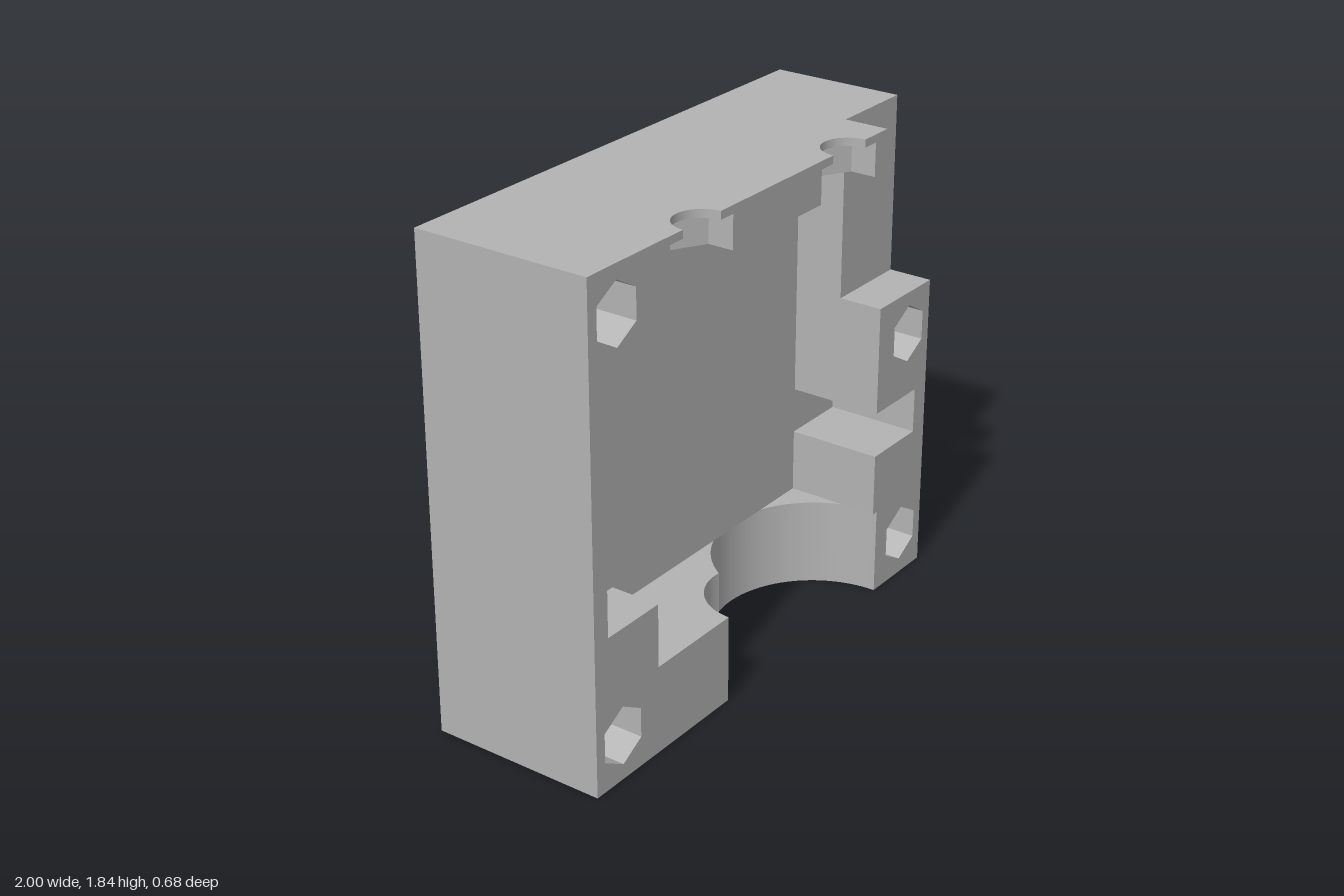
import * as THREE from 'three';
import { toCreasedNormals } from 'three/addons/utils/BufferGeometryUtils.js';

const W = 1, H = 1.84, BACK = -0.34, FRONT = 0.34;
const FLOOR = -0.02;   // cavity floor
const DIP = -0.06;     // back of the block holding the curved cutout
const STEP = 0.17;     // depth of the corner step
const L = -0.665, R = 0.66, LOW = 0.335, HIGH = 1.685; // cavity limits
const BLOCK_R = 0.7;   // right end of the lower block
const SLOT_LOW = 0.575, SLOT_HIGH = 0.75;
const LEFT_BOLTS = [[-0.86, 0.17], [-0.86, 1.675]];
const RIGHT_BOLTS = [[0.86, 0.17], [0.86, 1.0]];

const polygon = (points) => new THREE.Shape(points.map(([x, y]) => new THREE.Vector2(x, y)));

function addRoundHoles(shape, centres) {
  for (const [x, y] of centres) {
    shape.holes.push(new THREE.Path().absarc(x, y, 0.073, 0, Math.PI * 2, true));
  }
  return shape;
}

function addHexHoles(shape, centres) {
  for (const [x, y] of centres) {
    const points = [];
    for (let i = 0; i < 6; i++) {
      const a = Math.PI / 2 - i * Math.PI / 3;
      points.push(new THREE.Vector2(x + 0.112 * Math.cos(a), y + 0.112 * Math.sin(a)));
    }
    shape.holes.push(new THREE.Path(points));
  }
  return shape;
}

function extrude(shape, depth) {
  return new THREE.ExtrudeGeometry(shape, { depth, bevelEnabled: false, curveSegments: 40 });
}

export function createModel() {
  const model = new THREE.Group();
  model.name = 'housingHalf';
  const grey = new THREE.MeshStandardMaterial({ color: 0xb3b3b3 });
  grey.name = 'grey';

  const add = (name, geometry) => {
    const mesh = new THREE.Mesh(toCreasedNormals(geometry, 0.5), grey);
    mesh.name = name;
    model.add(mesh);
  };
  // Outline in x, y, extruded from z0 to z1
  const addAlongZ = (name, shape, z0, z1) =>
    add(name, extrude(shape, z1 - z0).translate(0, 0, z0));
  // Outline in x, -z, extruded from y0 to y1
  const addAlongY = (name, shape, y0, y1) =>
    add(name, extrude(shape, y1 - y0).rotateX(-Math.PI / 2).translate(0, y0, 0));

  const bolts = [...LEFT_BOLTS, ...RIGHT_BOLTS];

  // Back plate with bolt holes
  addAlongZ('backPlate',
    addRoundHoles(polygon([[-W, 0], [W, 0], [W, H], [-W, H]]), bolts), BACK, DIP);

  // Cavity floor layer, open where the lower block sits
  addAlongZ('cavityFloor', addRoundHoles(polygon([
    [-W, 0], [L, 0], [L, LOW], [BLOCK_R, LOW], [BLOCK_R, 0], [W, 0], [W, H], [-W, H],
  ]), bolts), DIP, FLOOR);

  // Left-hand wall with side slot and hexagonal pockets
  addAlongZ('slottedWall', addHexHoles(polygon([
    [-W, 0], [L, 0], [L, SLOT_LOW], [-0.93, SLOT_LOW],
    [-0.93, SLOT_HIGH], [L, SLOT_HIGH], [L, H], [-W, H],
  ]), LEFT_BOLTS), FLOOR, FRONT);

  // Opposite wall, lowered at the top corner to form a step
  const steppedWall = (top) => addHexHoles(polygon([
    [BLOCK_R, 0], [W, 0], [W, top], [R, top], [R, SLOT_HIGH], [0.925, SLOT_HIGH],
    [0.925, SLOT_LOW], [R, SLOT_LOW], [R, LOW], [BLOCK_R, LOW],
  ]), RIGHT_BOLTS);
  addAlongZ('steppedWallBack', steppedWall(H), FLOOR, STEP);
  addAlongZ('steppedWallFront', steppedWall(1.165), STEP, FRONT);

  // Lower block with two meeting round cutouts
  const lower = new THREE.Shape();
  lower.moveTo(L, -FRONT);
  lower.lineTo(-0.265, -FRONT);
  lower.absarc(-0.058, -FRONT, 0.207, Math.PI, Math.atan2(0.206, 0.023), true);
  lower.absarc(0.295, -FRONT, 0.39, Math.atan2(0.206, -0.331), 0, true);
  lower.lineTo(BLOCK_R, -FRONT);
  lower.lineTo(BLOCK_R, -DIP);
  lower.lineTo(L, -DIP);
  addAlongY('lowerBlock', lower, 0, LOW);

  // Top wall: nut pockets below, half-round bolt notches above
  const pockets = new THREE.Shape();
  const notches = new THREE.Shape();
  for (const s of [pockets, notches]) s.moveTo(L, -FRONT);
  for (const x of [-0.424, 0.421]) {
    pockets.lineTo(x - 0.168, -FRONT);
    pockets.lineTo(x - 0.168, -FRONT + 0.097);
    pockets.lineTo(x, -FRONT + 0.194);
    pockets.lineTo(x + 0.168, -FRONT + 0.097);
    pockets.lineTo(x + 0.168, -FRONT);
    notches.lineTo(x - 0.1, -FRONT);
    notches.absarc(x, -FRONT, 0.1, Math.PI, 0, true);
  }
  for (const s of [pockets, notches]) {
    s.lineTo(R, -FRONT);
    s.lineTo(R, -FLOOR);
    s.lineTo(L, -FLOOR);
  }
  addAlongY('topWallPockets', pockets, HIGH, 1.81);
  addAlongY('topWallNotches', notches, 1.81, H);

  return model;
}
